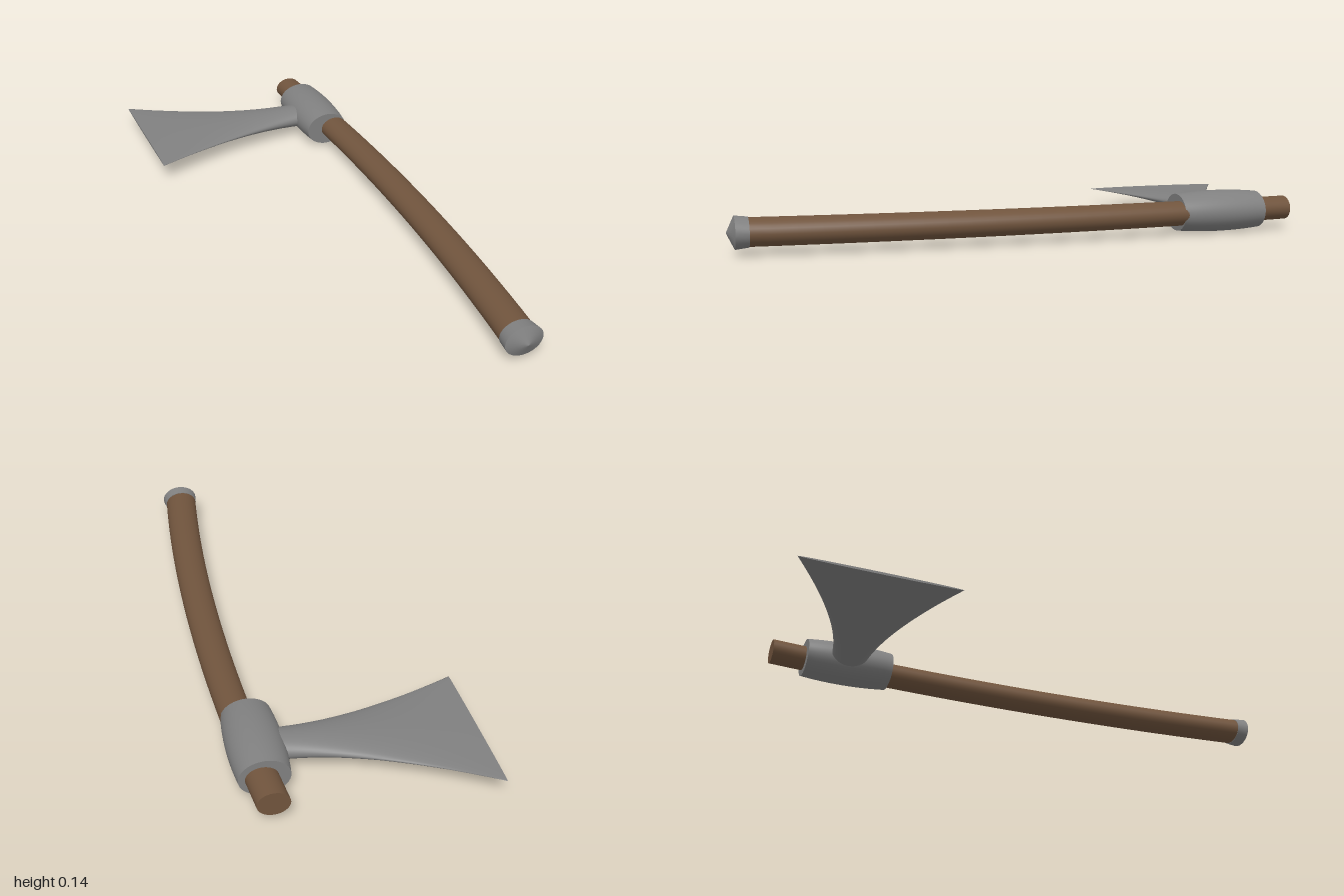
import * as THREE from 'three';

const Y = 0.0735; // height of the centre plane

// Skin of elliptical sections with flat end caps.
// Each section: { c: centre, u, v: half-axis vectors }, u x v pointing along the path.
function loft(sections, sides = 32) {
  const pos = [], index = [];
  const ring = ({ c, u, v }) => {
    const start = pos.length / 3;
    for (let i = 0; i <= sides; i++) {
      const a = (i / sides) * Math.PI * 2;
      const p = c.clone().addScaledVector(u, Math.cos(a)).addScaledVector(v, Math.sin(a));
      pos.push(p.x, p.y, p.z);
    }
    return start;
  };
  const starts = sections.map(ring);
  for (let k = 0; k + 1 < starts.length; k++) {
    for (let i = 0; i < sides; i++) {
      const a = starts[k] + i, b = starts[k + 1] + i;
      index.push(a, a + 1, b + 1, a, b + 1, b);
    }
  }
  // caps have their own vertices so that the rims stay sharp
  [sections[0], sections[sections.length - 1]].forEach((s, end) => {
    const start = ring(s), mid = pos.length / 3;
    pos.push(s.c.x, s.c.y, s.c.z);
    for (let i = 0; i < sides; i++) {
      if (end) index.push(mid, start + i, start + i + 1);
      else index.push(mid, start + i + 1, start + i);
    }
  });
  const g = new THREE.BufferGeometry();
  g.setAttribute('position', new THREE.Float32BufferAttribute(pos, 3));
  g.setIndex(index);
  g.computeVertexNormals();
  // match the normals along each section's seam
  const n = g.attributes.normal;
  for (const s of starts) {
    const m = new THREE.Vector3().fromBufferAttribute(n, s)
      .add(new THREE.Vector3().fromBufferAttribute(n, s + sides)).normalize();
    n.setXYZ(s, m.x, m.y, m.z);
    n.setXYZ(s + sides, m.x, m.y, m.z);
  }
  return g;
}

// Section lying across the z axis
const across = (x, z, rx, ry) => ({
  c: new THREE.Vector3(x, Y, z),
  u: new THREE.Vector3(rx, 0, 0),
  v: new THREE.Vector3(0, ry, 0),
});

export function createModel() {
  const steel = new THREE.MeshStandardMaterial({ color: 0x808080 });
  steel.name = 'steel';
  const wood = new THREE.MeshStandardMaterial({ color: 0x70543d });
  wood.name = 'wood';

  const group = new THREE.Group();
  group.name = 'axe';
  const add = (name, geometry, material) => {
    const mesh = new THREE.Mesh(geometry, material);
    mesh.name = name;
    group.add(mesh);
  };

  // Bowed handle, a little thicker towards the grip
  const handle = [];
  for (let i = 0; i <= 24; i++) {
    const t = i / 24, z = -0.94 + t * 1.885;
    handle.push(across(0.338 - 0.047 * (z / 0.93) ** 2, z, 0.051 + 0.009 * t, 0.041 + 0.005 * t));
  }
  add('handle', loft(handle), wood);

  // Barrel-shaped collar that holds the blade
  const collar = [];
  for (let i = 0; i <= 12; i++) {
    const s = i / 6 - 1, r = 1 - 0.11 * s * s;
    collar.push(across(0.293, -0.672 + 0.152 * s, 0.091 * r, 0.0715 * r));
  }
  add('collar', loft(collar, 40), steel);

  // Pommel: flared band with a shallow pointed end
  add('pommelBand', loft([across(0.291, 0.932, 0.062, 0.048), across(0.291, 0.975, 0.067, 0.053)]), steel);
  add('pommelTip', loft([across(0.291, 0.975, 0.067, 0.053), across(0.291, 1, 0.001, 0.001)]), steel);

  // Blade flares along two curves while thinning to the cutting edge
  const back = new THREE.QuadraticBezierCurve(new THREE.Vector2(0.22, -0.742), new THREE.Vector2(-0.03, -0.775), new THREE.Vector2(-0.4, -1));
  const front = new THREE.QuadraticBezierCurve(new THREE.Vector2(0.22, -0.617), new THREE.Vector2(-0.03, -0.617), new THREE.Vector2(-0.4, -0.473));
  const blade = [];
  for (let i = 0; i <= 20; i++) {
    const t = i / 20, a = back.getPoint(t), b = front.getPoint(t);
    blade.push({
      c: new THREE.Vector3(a.x, Y, (a.y + b.y) / 2),
      u: new THREE.Vector3(0, 0, (b.y - a.y) / 2),
      v: new THREE.Vector3(0, 0.004 + 0.035 * (a.x + 0.4) / 0.62, 0),
    });
  }
  add('blade', loft(blade, 40), steel);

  return group;
}
